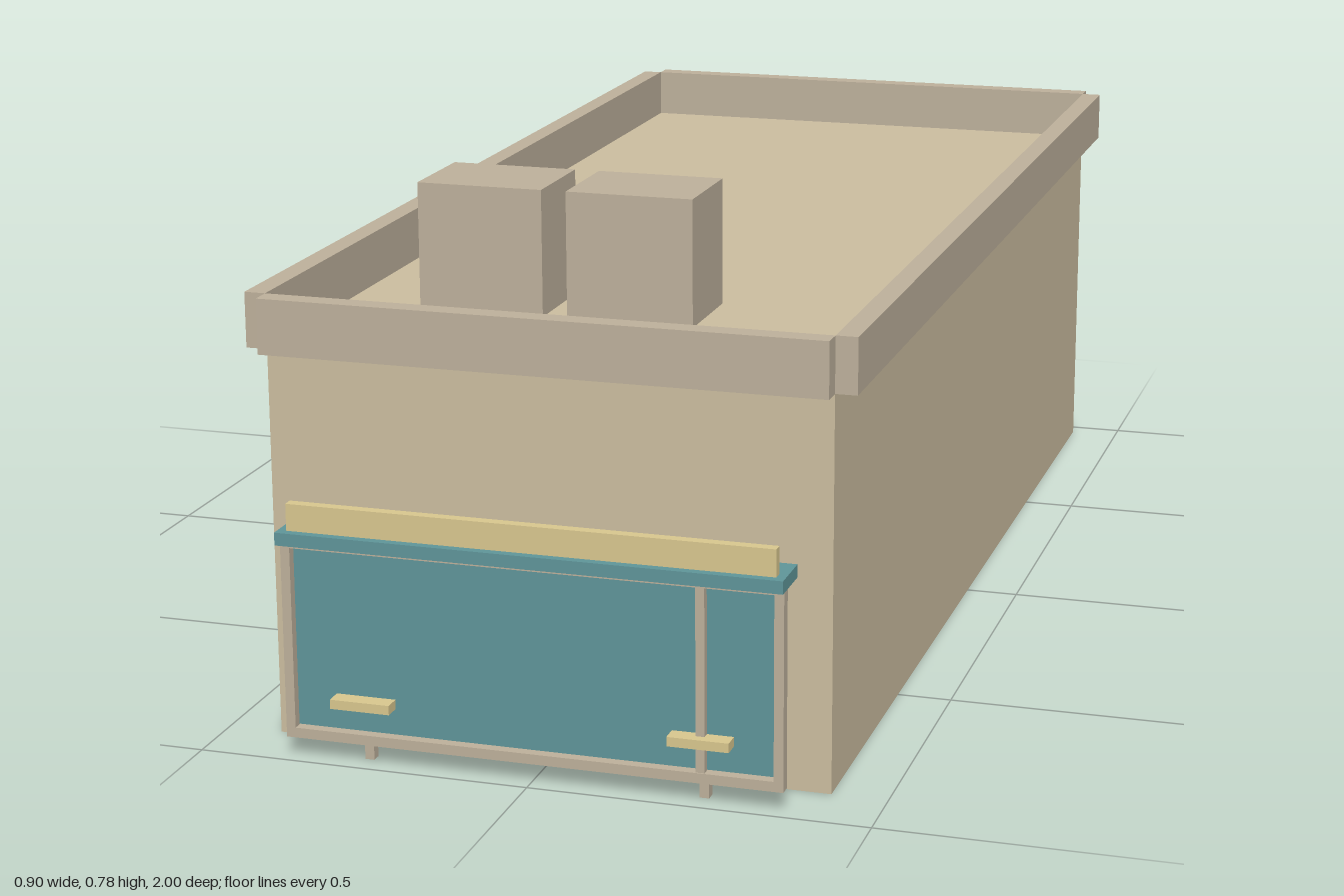
import * as THREE from 'three';

const mat = (color) => new THREE.MeshStandardMaterial({ color });

export function createModel() {
  const model = new THREE.Group();
  const wall = mat(0xcbbd9f), trim = mat(0xbdb09b), teal = mat(0x5f9599), yellow = mat(0xd8c68e);

  // Box given by its low and high extents on each axis
  const box = (name, material, [x0, x1], [y0, y1], [z0, z1], parent = model) => {
    const mesh = new THREE.Mesh(new THREE.BoxGeometry(x1 - x0, y1 - y0, z1 - z0), material);
    mesh.position.set((x0 + x1) / 2, (y0 + y1) / 2, (z0 + z1) / 2);
    mesh.name = name;
    parent.add(mesh);
    return mesh;
  };

  // Main building with a flat roof
  box('building', wall, [-0.418, 0.418], [0, 0.584], [-0.968, 0.902]);

  // Parapet strips hung outside the walls, leaving notched corners
  const parapet = new THREE.Group();
  parapet.name = 'parapet';
  model.add(parapet);
  const rim = [0.583, 0.665];
  box('parapetFront', trim, [-0.418, 0.418], rim, [0.902, 0.934], parapet);
  box('parapetBack', trim, [-0.418, 0.418], rim, [-1, -0.968], parapet);
  box('parapetLeft', trim, [0.418, 0.45], rim, [-0.968, 0.902], parapet);
  box('parapetRight', trim, [-0.45, -0.418], rim, [-0.968, 0.902], parapet);

  // Rooftop units
  for (const x of [-0.295, -0.063]) {
    box('roofUnit', trim, [x, x + 0.194], [0.584, 0.776], [0.467, 0.621]);
  }

  // Shopfront: glass in a frame with an off-centre mullion
  const shop = new THREE.Group();
  shop.name = 'shopfront';
  model.add(shop);
  box('glass', teal, [-0.357, 0.357], [0.046, 0.318], [0.962, 0.972], shop);
  const depth = [0.968, 0.986];
  for (const s of [-1, 1]) {
    const x = s * 0.364;
    box('framePost', trim, [x - 0.007, x + 0.007], [0.03, 0.325], depth, shop);
  }
  box('frameSill', trim, [-0.357, 0.357], [0.03, 0.045], depth, shop);
  box('frameHead', trim, [-0.357, 0.357], [0.317, 0.325], depth, shop);
  box('mullion', trim, [0.244, 0.257], [0.04, 0.325], [0.968, 0.984], shop);

  // Canopy and sign board above it
  box('canopy', teal, [-0.373, 0.373], [0.324, 0.343], [0.925, 1], shop);
  box('signBoard', yellow, [-0.36, 0.36], [0.343, 0.383], [0.971, 0.987], shop);

  // Small ledges and the feet below them
  for (const x of [-0.252, 0.251]) {
    box('ledge', yellow, [x - 0.045, x + 0.045], [0.085, 0.099], [0.923, 0.998], shop);
    box('foot', trim, [x - 0.007, x + 0.007], [0, 0.085], [0.95, 0.965], shop);
  }

  return model;
}
